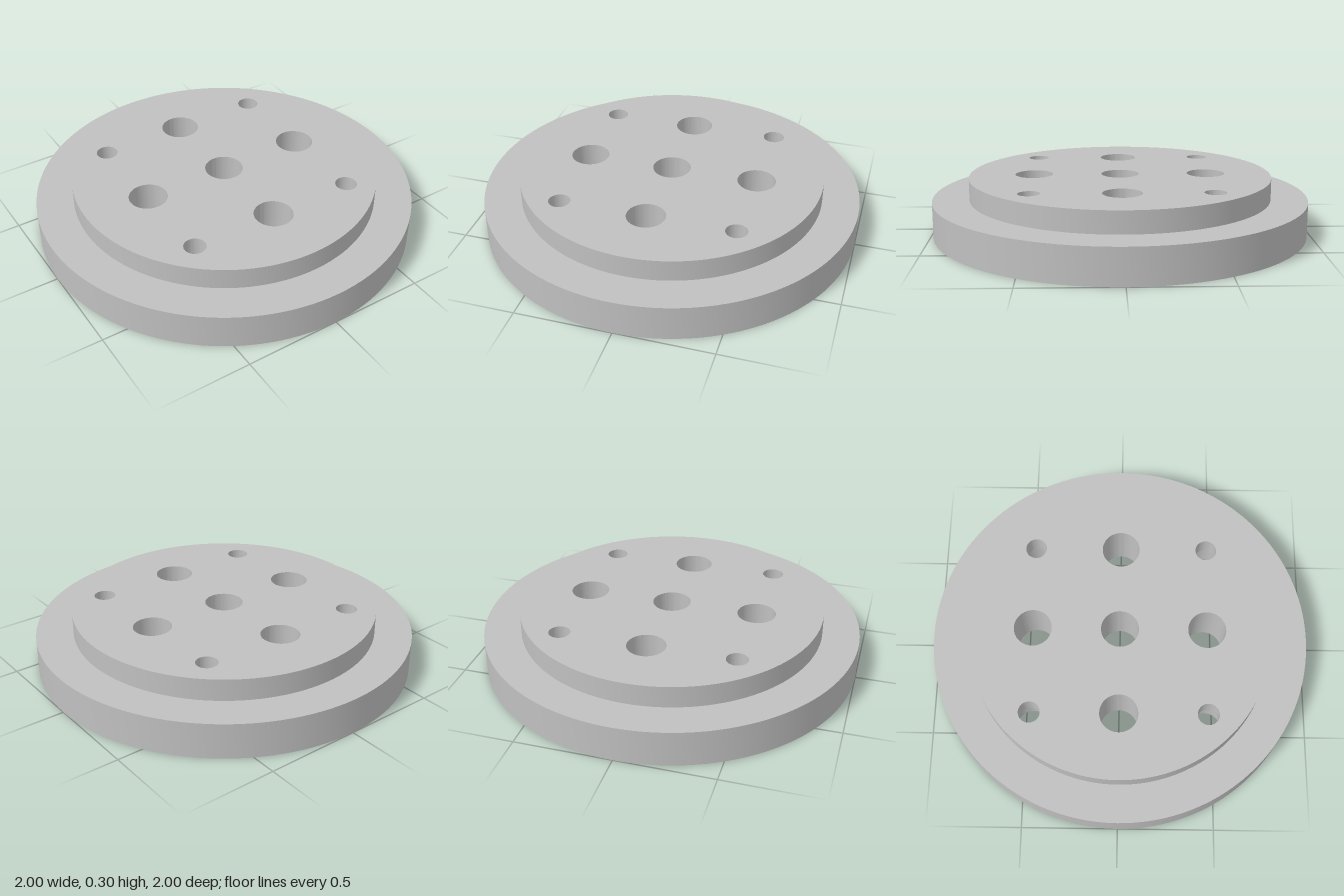
import * as THREE from 'three';
import { toCreasedNormals } from 'three/addons/utils/BufferGeometryUtils.js';

const BASE_HEIGHT = 0.187, TOTAL_HEIGHT = 0.302;
const PITCH = 0.46; // spacing of the 3 x 3 hole grid
const BORE = 0.1; // radius of the centre and cross holes

// Round plate with a grid of holes; corner holes have their own radius
function drilledDisc(radius, height, cornerRadius) {
  const shape = new THREE.Shape().absarc(0, 0, radius, 0, Math.PI * 2, false);
  for (const i of [-1, 0, 1]) {
    for (const j of [-1, 0, 1]) {
      const r = i !== 0 && j !== 0 ? cornerRadius : BORE;
      shape.holes.push(new THREE.Path().absarc(i * PITCH, j * PITCH, r, 0, Math.PI * 2, true));
    }
  }
  const geometry = new THREE.ExtrudeGeometry(shape, { depth: height, bevelEnabled: false, curveSegments: 64 });
  geometry.rotateX(-Math.PI / 2);
  return toCreasedNormals(geometry, Math.PI / 5);
}

export function createModel() {
  const model = new THREE.Group();
  model.name = 'steppedFlange';
  const steel = new THREE.MeshStandardMaterial({ color: 0xc0c0c0 });
  steel.name = 'plain grey';

  // Wide base with counterbored corner holes
  const base = new THREE.Mesh(drilledDisc(1, BASE_HEIGHT, 0.09), steel);
  base.name = 'basePlate';

  // Raised disc; its narrower corner holes form the counterbore shoulders
  const raised = new THREE.Mesh(drilledDisc(0.805, TOTAL_HEIGHT - BASE_HEIGHT, 0.056), steel);
  raised.name = 'raisedDisc';
  raised.position.y = BASE_HEIGHT;

  model.add(base, raised);
  return model;
}
